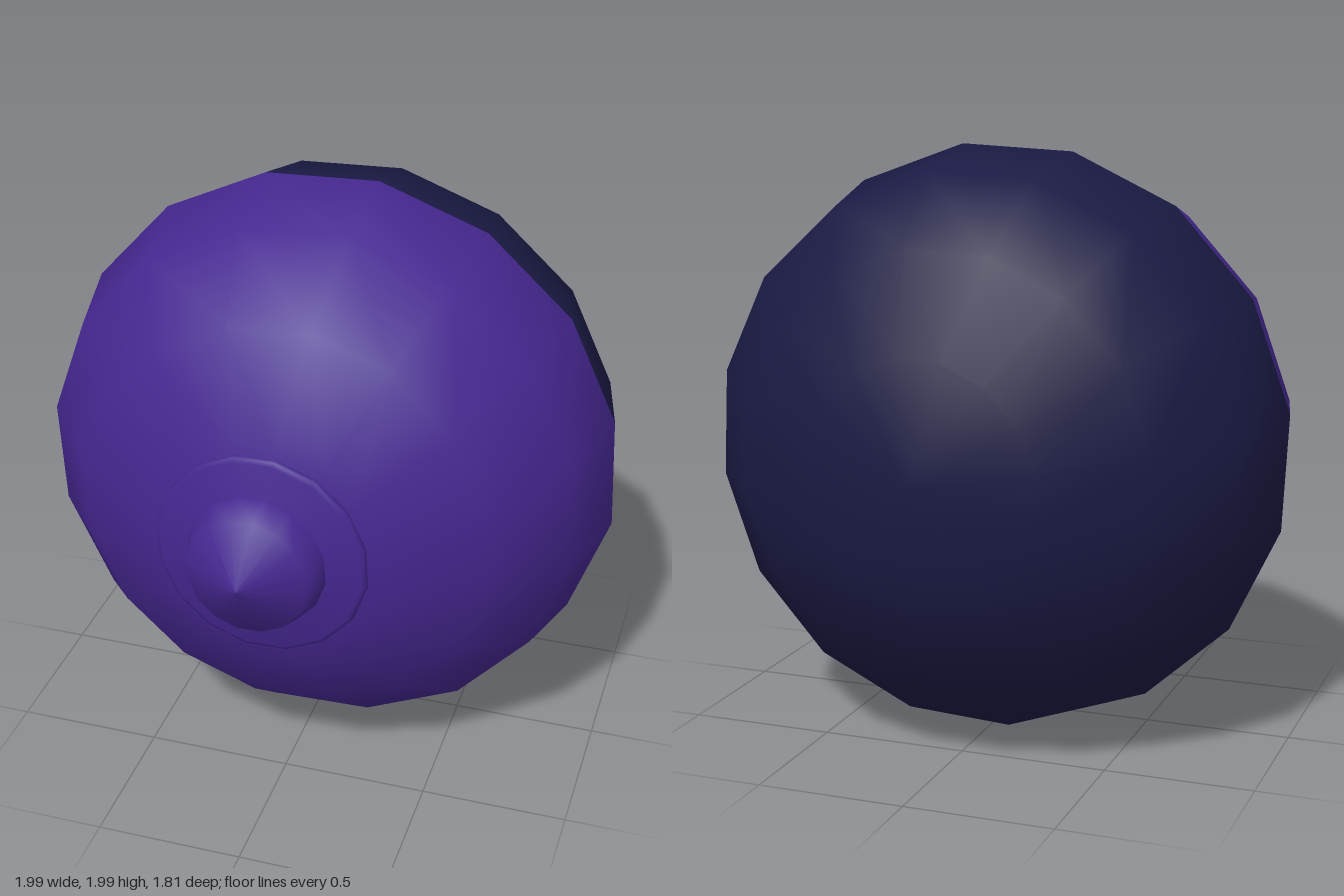
import * as THREE from 'three';

const SIDES = 16;
const purple = new THREE.MeshStandardMaterial({ color: 0x452790 });
const navy = new THREE.MeshStandardMaterial({ color: 0x1a1a44 });

function addPart(group, name, geometry, material) {
  // every part is turned around the y axis first, then laid to face the front
  geometry.rotateX(Math.PI / 2);
  const mesh = new THREE.Mesh(geometry, material);
  mesh.name = name;
  group.add(mesh);
}

// half of a flattened low-poly ball, starting at the given polar angle
function halfShell(start) {
  const g = new THREE.SphereGeometry(1.008, SIDES, 4, 0, Math.PI * 2, start, Math.PI / 2);
  return g.scale(1, 0.81 / 1.008, 1);
}

// turned shape from [radius, height] pairs, bottom to top
function turned(profile) {
  return new THREE.LatheGeometry(profile.map(([r, h]) => new THREE.Vector2(r, h)), SIDES);
}

export function createModel() {
  const model = new THREE.Group();
  model.name = 'roundBody';

  // two-tone flattened ball
  addPart(model, 'frontShell', halfShell(0), purple);
  addPart(model, 'backShell', halfShell(Math.PI / 2), navy);

  // collar with a rounded rim, sloping up to the knob
  addPart(model, 'collar', turned([
    [0.33, 0.735], [0.352, 0.75], [0.362, 0.765], [0.358, 0.778], [0.345, 0.785], [0.23, 0.815],
  ]), purple);

  // blunt front knob
  addPart(model, 'knob', turned([
    [0.238, 0.79], [0.236, 0.812], [0.203, 0.908], [0, 0.997],
  ]), purple);

  // slight roll and turn of the whole body
  model.rotation.set(0, -0.02, THREE.MathUtils.degToRad(-8.5));
  model.rotation.order = 'YXZ';
  model.position.set(0, 1.003, -0.092);

  const root = new THREE.Group();
  root.name = 'model';
  root.add(model);
  return root;
}
